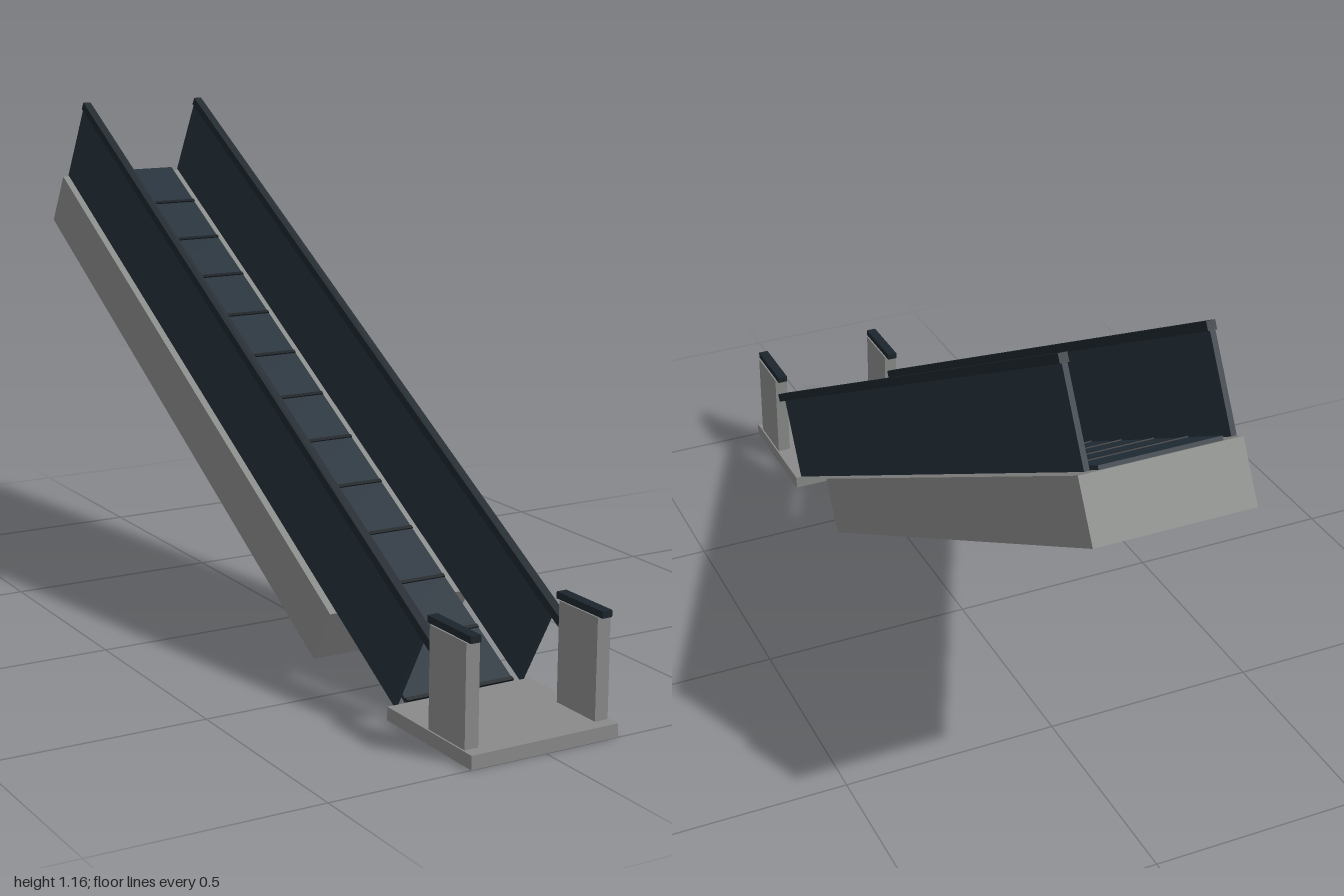
import * as THREE from 'three';

function mat(name, color) {
  const m = new THREE.MeshStandardMaterial({ color });
  m.name = name;
  return m;
}

export function createModel() {
  const grey = mat('grey metal', 0x888a88);
  const navy = mat('dark slate blue', 0x24303a);
  const dark = mat('near black', 0x141a1f);
  const rubber = mat('handrail rubber', 0x1c252c);

  // Box given by its [min, max] extent on each axis
  function box(parent, name, material, [x0, x1], [y0, y1], [z0, z1]) {
    const mesh = new THREE.Mesh(new THREE.BoxGeometry(x1 - x0, y1 - y0, z1 - z0), material);
    mesh.position.set((x0 + x1) / 2, (y0 + y1) / 2, (z0 + z1) / 2);
    mesh.name = name;
    parent.add(mesh);
    return mesh;
  }
  const around = (centre, width) => [centre - width / 2, centre + width / 2];

  const model = new THREE.Group();
  model.name = 'escalator';

  // Landing plate at the foot
  box(model, 'landingPlate', grey, [-0.178, 0.178], [0, 0.03], [0.69, 1]);

  // Inclined assembly: origin at the upper rear edge, local +z runs down the slope
  const incline = new THREE.Group();
  incline.name = 'incline';
  incline.position.set(0, 0.962, -0.93);
  incline.rotation.x = Math.PI / 6;
  model.add(incline);

  box(incline, 'truss', grey, [-0.178, 0.178], [-0.14, 0], [0, 1.6]);

  // Twelve step plates, each with a dark nosing strip at its lower edge
  const pitch = 0.156;
  for (let i = 0; i < 12; i++) {
    const z = i * pitch;
    box(incline, 'step', navy, [-0.134, 0.134], [0.001, 0.01], [z, z + pitch - 0.005]);
    box(incline, 'stepNosing', dark, [-0.134, 0.134], [0.008, 0.013], [z + pitch - 0.009, z + pitch]);
  }

  for (const side of [-1, 1]) {
    const x = side * 0.158;

    // Balustrade panel and handrail
    box(incline, 'balustrade', navy, around(x, 0.012), [0.004, 0.212], [0, 1.87]);
    box(incline, 'handrail', rubber, around(x, 0.02), [0.211, 0.231], [0, 1.91]);

    // Entry post with cap
    box(model, 'entryPost', grey, around(x, 0.032), [0.03, 0.25], [0.84, 0.97]);
    box(model, 'entryPostCap', rubber, around(x, 0.024), [0.25, 0.265], [0.825, 0.98]);
  }

  return model;
}
